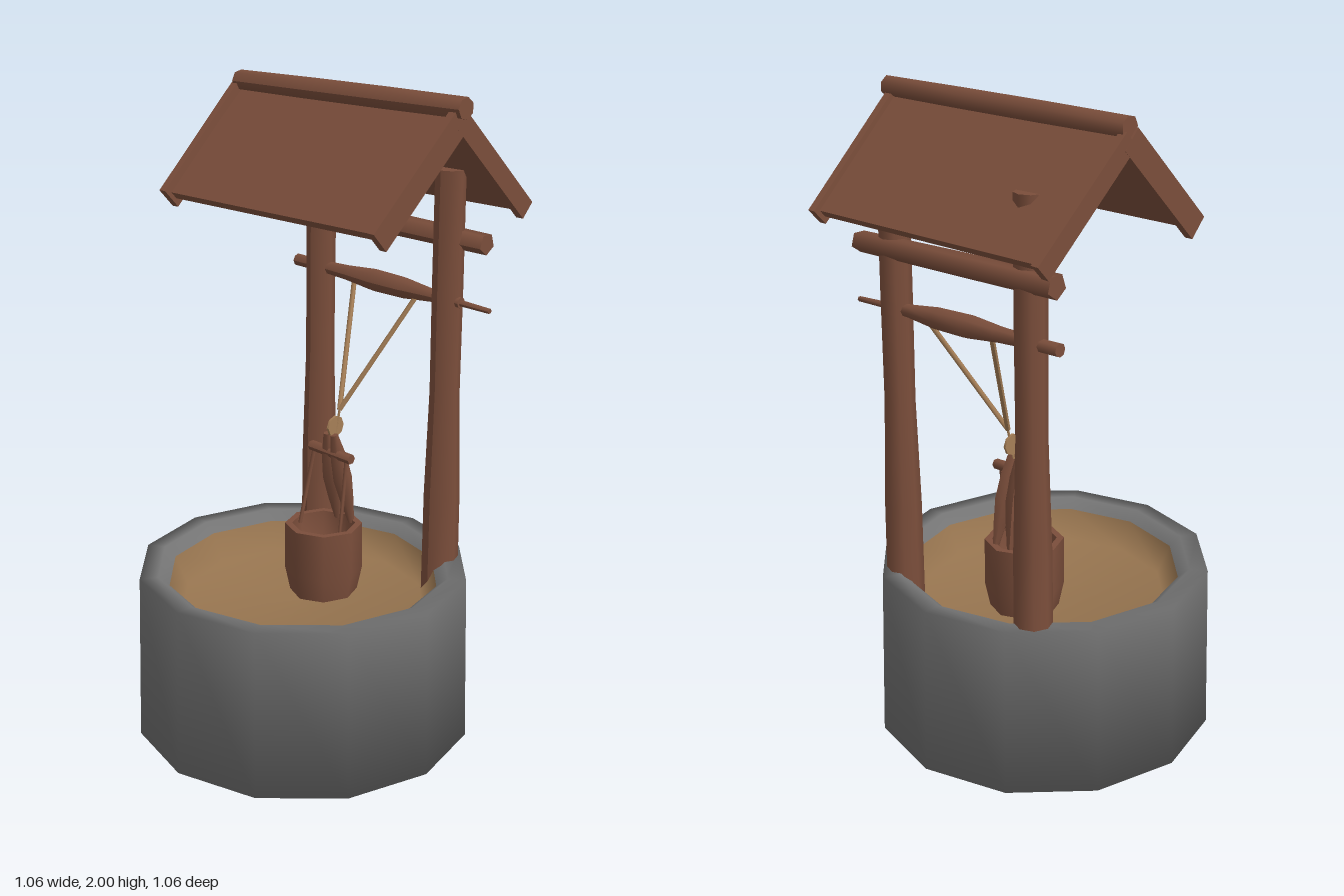
import * as THREE from 'three';

const mat = (name, color, side = THREE.FrontSide) => {
  const m = new THREE.MeshStandardMaterial({ color, side });
  m.name = name;
  return m;
};

export function createModel() {
  const wood = mat('brown wood', 0x7b4e3b);
  const stone = mat('grey stone', 0x747474);
  const sand = mat('tan well lining', 0x96744f, THREE.DoubleSide);
  const rope = mat('tan rope', 0xa67f57);
  const model = new THREE.Group();
  model.name = 'well';

  const add = (name, geometry, material, parent = model) => {
    const mesh = new THREE.Mesh(geometry, material);
    mesh.name = name;
    parent.add(mesh);
    return mesh;
  };

  // Round bar from a to b whose radius follows evenly spaced values
  const rod = (name, material, a, b, radii, sides = 8, turn = 0) => {
    const start = new THREE.Vector3(...a), end = new THREE.Vector3(...b);
    const dir = end.clone().sub(start), n = radii.length - 1;
    const g = new THREE.CylinderGeometry(1, 1, 1, sides, n);
    const p = g.attributes.position;
    for (let i = 0; i < p.count; i++) {
      const r = radii[Math.round((p.getY(i) + 0.5) * n)];
      p.setX(i, p.getX(i) * r);
      p.setZ(i, p.getZ(i) * r);
    }
    g.rotateY(turn);
    g.scale(1, dir.length(), 1);
    g.computeVertexNormals();
    const mesh = add(name, g, material);
    mesh.position.copy(start).add(end).multiplyScalar(0.5);
    mesh.quaternion.setFromUnitVectors(new THREE.Vector3(0, 1, 0), dir.normalize());
    return mesh;
  };

  const lathe = (name, material, points, sides) =>
    add(name, new THREE.LatheGeometry(points.map(([x, y]) => new THREE.Vector2(x, y)), sides), material);

  // Stone basin with a soft rim and a shallow lining
  lathe('stoneBase', stone, [[0, 0], [0.53, 0], [0.517, 0.53], [0.46, 0.53], [0.425, 0.5]], 12);
  lathe('wellLining', sand, [[0.425, 0.5], [0.385, 0.41], [0, 0.4]], 12);

  // Posts: the one on the model's right pokes through the roof
  rod('rightPost', wood, [-0.277, 0.4, -0.347], [-0.265, 1.795, -0.343], [0.058, 0.056, 0.046, 0.047, 0.046]);
  rod('leftPost', wood, [0.265, 0.4, -0.347], [0.267, 1.76, -0.343], [0.058, 0.056, 0.046, 0.047, 0.046]);

  // Crossbeam and windlass
  rod('crossbeam', wood, [-0.385, 1.565, -0.37], [0.39, 1.55, -0.37], [0.037, 0.036, 0.033], 5, 0.3);
  rod('windlass', wood, [-0.375, 1.382, -0.345], [0.32, 1.365, -0.345],
    [0.02, 0.02, 0.025, 0.036, 0.034, 0.021, 0.017]);
  rod('windlassHandle', wood, [0.3, 1.365, -0.345], [0.43, 1.36, -0.345], [0.01, 0.008], 6);

  // Roof: two slopes hinged on the ridge, each a plank with end rails
  const pitch = Math.atan(0.93);
  for (const [label, s] of [['front', 1], ['back', -1]]) {
    const slope = new THREE.Group();
    slope.name = label + 'RoofSlope';
    slope.position.set(0, 1.935, -0.18);
    slope.rotation.x = s * pitch;
    model.add(slope);
    const plank = add(label + 'Plank', new THREE.BoxGeometry(0.86, 0.028, 0.42), wood, slope);
    plank.position.set(-0.012, 0, s * 0.21);
    for (const [x, tilt] of [[-0.451, 1], [0.425, -0.4]]) {
      const rail = add(label + 'EndRail', new THREE.BoxGeometry(0.025, s > 0 ? 0.075 : 0.06, 0.435), wood, slope);
      rail.position.set(x, 0, s * 0.217);
      rail.rotation.y = s * tilt * 0.04;
    }
  }
  rod('ridgeBeam', wood, [-0.465, 1.966, -0.18], [0.455, 1.968, -0.178], [0.032, 0.034, 0.034, 0.032], 7);

  // Ropes meeting at the knot
  for (const x of [-0.115, 0.15]) {
    rod('rope', rope, [x, 1.36, -0.34], [0.004, 1, -0.155], [0.008, 0.008], 6);
  }
  rod('knot', rope, [-0.004, 0.948, -0.14], [0.004, 0.948, -0.14], [0.034, 0.034], 8);
  rod('knotTie', rope, [0.004, 1.01, -0.158], [0, 0.9, -0.135], [0.004, 0.004], 5);

  // Bucket hanger: peg, two stout spindles and two thin side ties
  rod('hangerPeg', wood, [-0.095, 0.865, -0.13], [0.08, 0.86, -0.13], [0.016, 0.016], 6);
  for (const s of [-1, 1]) {
    rod('hangerSpindle', wood, [s * 0.015 - 0.005, 0.925, -0.125], [s * 0.03 - 0.005, 0.62, -0.19],
      [0.012, 0.026, 0.031, 0.022, 0.01], 6);
    rod('hangerTie', wood, [s * 0.07 - 0.01, 0.865, -0.13], [s * 0.088 - 0.012, 0.61, -0.085], [0.006, 0.006], 4);
  }

  // Open bucket
  const bucket = lathe('bucket', wood, [[0, 0.37], [0.1, 0.37], [0.1, 0.37], [0.123, 0.48], [0.122, 0.63],
    [0.122, 0.63], [0.1, 0.63], [0.1, 0.63], [0.09, 0.46], [0, 0.46]], 8);
  bucket.position.set(-0.014, 0, -0.105);

  return model;
}
